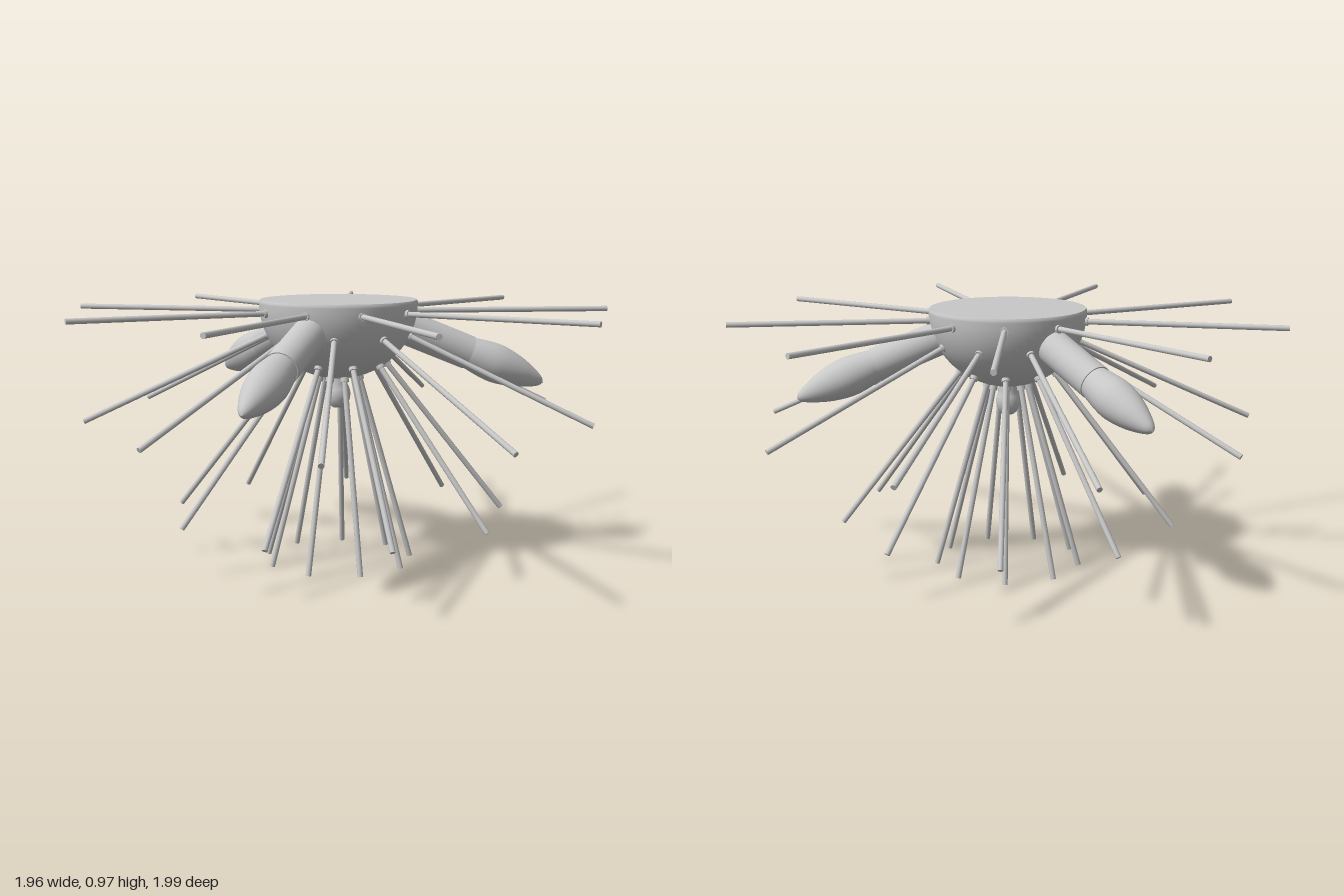
import * as THREE from 'three';

const UP = new THREE.Vector3(0, 1, 0);
const HUB_Y = 0.97;

export function createModel() {
  const model = new THREE.Group();
  model.name = 'starburstCeilingLamp';
  const metal = new THREE.MeshStandardMaterial({ color: 0xc8c8c8 });
  metal.name = 'satinGrey';

  // everything radiates from the centre of the dome
  const lamp = new THREE.Group();
  lamp.name = 'lamp';
  lamp.position.set(0.025, 0, -0.003);
  model.add(lamp);

  const add = (parent, geometry, name) => {
    const mesh = new THREE.Mesh(geometry, metal);
    mesh.name = name;
    parent.add(mesh);
    return mesh;
  };
  const lathe = (points, segments) =>
    new THREE.LatheGeometry(points.map(([r, y]) => new THREE.Vector2(r, y)), segments);

  // group whose own y axis points outward and down from the hub
  const spoke = (name, degrees, reach, drop, y) => {
    const a = THREE.MathUtils.degToRad(degrees);
    const dir = new THREE.Vector3(reach * Math.cos(a), -drop, -reach * Math.sin(a)).normalize();
    const group = new THREE.Group();
    group.name = name;
    group.position.y = y;
    group.quaternion.setFromUnitVectors(UP, dir);
    lamp.add(group);
    return group;
  };

  // half-round dome with a short straight rim
  const bowl = [];
  for (let i = 0; i <= 20; i++) {
    const a = (i / 20) * Math.PI / 2;
    bowl.push([0.289 * Math.sin(a), 0.965 - 0.275 * Math.cos(a)]);
  }
  add(lamp, lathe([...bowl, [0.289, 0.972], [0.285, 0.979]], 64), 'dome');
  const plate = add(lamp, new THREE.CircleGeometry(0.285, 64), 'ceilingPlate');
  plate.rotation.x = -Math.PI / 2;
  plate.position.y = 0.979;

  // finial under the dome
  add(lamp, lathe([
    [0, 0.58], [0.022, 0.582], [0.034, 0.593], [0.042, 0.612],
    [0.045, 0.632], [0.041, 0.652], [0.034, 0.668], [0.034, 0.71],
  ], 32), 'finial');

  // four rings of nine rods: first angle, horizontal reach, drop, start height
  const rings = [
    [20, 1.01, 0, 0.936],
    [0, 0.927, 0.425, HUB_Y],
    [20, 0.62, 0.783, HUB_Y],
    [20, 0.272, 0.963, HUB_Y],
  ];
  for (const [start, reach, drop, y] of rings) {
    const length = Math.hypot(reach, drop);
    const rod = new THREE.CylinderGeometry(0.01, 0.01, length - 0.22, 12);
    rod.translate(0, (length + 0.22) / 2, 0);
    const collar = new THREE.CylinderGeometry(0.015, 0.015, 0.04, 16);
    collar.translate(0, 0.277, 0);
    for (let k = 0; k < 9; k++) {
      const group = spoke('rodAssembly', start + 40 * k, reach, drop, y);
      add(group, rod, 'rod');
      add(group, collar, 'rodCollar');
    }
  }

  // three sockets with candle bulbs
  const socket = new THREE.CylinderGeometry(0.063, 0.063, 0.32, 32);
  socket.translate(0, 0.365, 0);
  const outline = new THREE.SplineCurve([
    [0.056, 0.51], [0.065, 0.56], [0.072, 0.62], [0.069, 0.67],
    [0.056, 0.73], [0.036, 0.785], [0.018, 0.82], [0, 0.834],
  ].map(([r, y]) => new THREE.Vector2(r, y)));
  const bulb = new THREE.LatheGeometry(
    outline.getPoints(28).map((p) => new THREE.Vector2(Math.max(p.x, 0), p.y)), 32);
  for (const angle of [60, 180, 300]) {
    const group = spoke('bulbArm', angle, 0.775, 0.315, 0.975);
    add(group, socket, 'socket');
    add(group, bulb, 'bulb');
  }

  return model;
}
